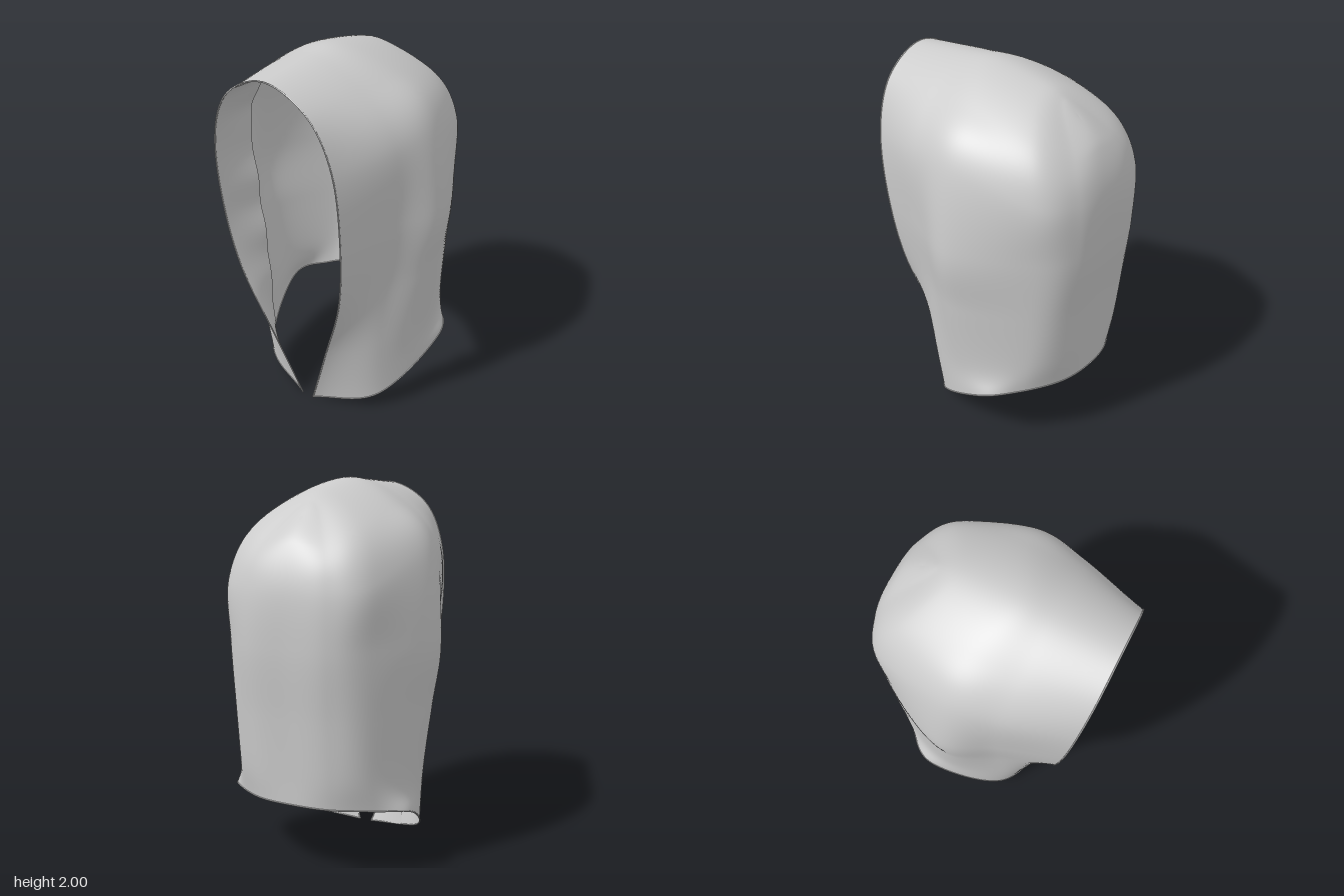
import * as THREE from 'three';
import { mergeVertices } from 'three/addons/utils/BufferGeometryUtils.js';

// Half ribs from hem to crown (model's left side), listed from front edge to centre back
const RIBS = [
  [[.035, 0, .35], [.18, .4, .42], [.32, .8, .49], [.37, 1.2, .545], [.355, 1.58, .585], [.24, 1.84, .61], [0, 1.955, .617]],
  [[.375, .09, .2], [.39, .4, .23], [.425, .8, .22], [.475, 1.2, .22], [.465, 1.62, .24], [.285, 1.86, .27], [0, 1.983, .28]],
  [[.515, .322, -.18], [.495, .46, -.1], [.54, .85, -.06], [.577, 1.2, -.06], [.497, 1.66, -.05], [.305, 1.865, -.02], [0, 1.995, .08]],
  [[.39, .37, -.37], [.38, .55, -.405], [.385, .85, -.43], [.395, 1.2, -.45], [.395, 1.52, -.45], [.29, 1.77, -.36], [0, 1.945, -.2]],
  [[.2, .388, -.5], [.205, .55, -.525], [.21, .85, -.555], [.22, 1.2, -.59], [.215, 1.5, -.578], [.16, 1.7, -.5], [0, 1.89, -.32]],
  [[0, .395, -.535], [0, .55, -.545], [0, .85, -.57], [0, 1.2, -.605], [0, 1.5, -.602], [0, 1.71, -.525], [0, 1.83, -.4]],
];
const mirror = (p) => new THREE.Vector3(-p.x, p.y, p.z);
const spline = (pts) => new THREE.CatmullRomCurve3(pts, false, 'catmullrom', 0.5);

// Each rib becomes a full arch so the crown stays smooth
const arches = RIBS.map((rib) => {
  const half = rib.map((p) => new THREE.Vector3(...p));
  return spline([...half, ...half.slice(0, -1).reverse().map(mirror)]);
});

// Horizontal section at height v (0 hem, 1 crown): left front, round the back, right front
function section(v) {
  const half = arches.map((a) => a.getPoint(v / 2));
  return spline([...half, ...half.slice(0, -1).reverse().map(mirror)]);
}

// Grid surface from a function giving one row of points per v
function sheet(rows, cols, rowAt) {
  const pos = [], index = [];
  for (let j = 0; j <= rows; j++) {
    const at = rowAt(j / rows);
    for (let i = 0; i <= cols; i++) pos.push(...at(i / cols).toArray());
  }
  for (let j = 0; j < rows; j++) {
    for (let i = 0; i < cols; i++) {
      const a = j * (cols + 1) + i, b = a + 1, c = a + cols + 1, d = c + 1;
      index.push(a, b, d, a, d, c);
    }
  }
  let g = new THREE.BufferGeometry();
  g.setAttribute('position', new THREE.Float32BufferAttribute(pos, 3));
  g.setIndex(index);
  g = mergeVertices(g, 1e-4);
  g.computeVertexNormals();
  return g;
}

export function createModel() {
  const group = new THREE.Group();
  group.name = 'hood';
  const cloth = new THREE.MeshStandardMaterial({ color: 0xcccccc, side: THREE.DoubleSide });
  const add = (name, geometry) => {
    const mesh = new THREE.Mesh(geometry, cloth);
    mesh.name = name;
    group.add(mesh);
  };

  // Outer cloth, closed over the crown and open at the face and neck
  add('hoodShell', sheet(80, 140, (v) => {
    const s = section(v);
    return (u) => s.getPoint(u);
  }));

  // Inner facing that hangs slightly free of the cloth behind the face opening
  for (const side of [1, -1]) {
    add(side > 0 ? 'leftFacing' : 'rightFacing', sheet(80, 8, (v) => {
      const s = section(v);
      const gap = 0.012 + 0.12 * Math.sin(Math.PI * v) ** 1.2;
      const wave = 0.006 * Math.sin(50 * v) * Math.sin(Math.PI * v);
      return (u) => {
        const p = s.getPoint(u * 0.065);
        p.x = Math.max(0, p.x - (gap + wave) * u * Math.min(1, p.x / 0.2));
        p.y -= 0.02 * u * v;
        p.x *= side;
        return p;
      };
    }));
  }

  // Narrow rolled edge round the face opening and along the neck
  add('faceEdge', new THREE.TubeGeometry(arches[0], 120, 0.004, 6));
  add('neckHem', new THREE.TubeGeometry(section(0), 120, 0.004, 6));
  return group;
}
